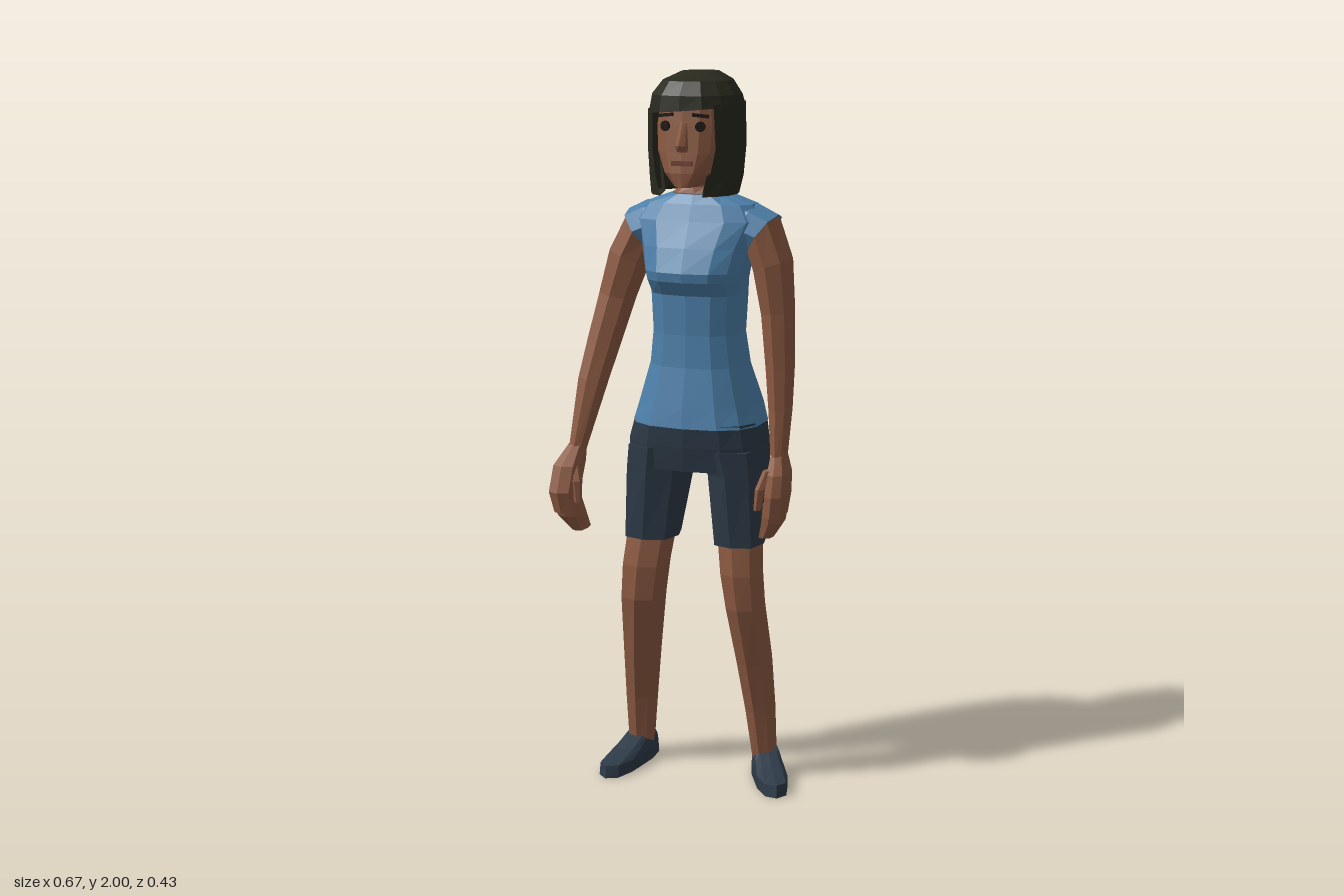
import * as THREE from 'three';

const mat = (name, color, extra = {}) => {
  const m = new THREE.MeshStandardMaterial({ color, flatShading: true, ...extra });
  m.name = name;
  return m;
};

// Skin over rings listed from top to bottom: [cx, cy, cz, rx, rz, tilt about z].
// n squares the section off; gap leaves an opening of that half angle at the front.
function loft(rings, sides = 8, n = 2.3, gap = 0) {
  const pos = [], idx = [];
  const pw = v => Math.sign(v) * Math.abs(v) ** (2 / n);
  for (const [cx, cy, cz, rx, rz, tilt = 0, g = gap] of rings) {
    for (let j = 0; j <= sides; j++) {
      const t = g + (2 * Math.PI - 2 * g) * j / sides;
      const x = rx * pw(Math.sin(t));
      pos.push(cx + x * Math.cos(tilt), cy + x * Math.sin(tilt), cz + rz * pw(Math.cos(t)));
    }
  }
  const w = sides + 1, last = (rings.length - 1) * w;
  for (let i = 0; i < rings.length - 1; i++) {
    for (let j = 0; j < sides; j++) {
      const a = i * w + j, b = a + w;
      idx.push(b, b + 1, a + 1, b, a + 1, a);
    }
  }
  if (!gap) {
    const top = pos.length / 3;
    pos.push(...rings[0].slice(0, 3), ...rings[rings.length - 1].slice(0, 3));
    for (let j = 0; j < sides; j++) {
      idx.push(top, j, j + 1, top + 1, last + j + 1, last + j);
    }
  }
  const geo = new THREE.BufferGeometry();
  geo.setAttribute('position', new THREE.Float32BufferAttribute(pos, 3));
  geo.setIndex(idx);
  geo.computeVertexNormals();
  return geo;
}

// Ring given by its extents
const span = (y, x0, x1, z0, z1) => [(x0 + x1) / 2, y, (z0 + z1) / 2, (x1 - x0) / 2, (z1 - z0) / 2];

export function createModel() {
  const model = new THREE.Group();
  const skin = mat('skin', 0x8c5a42);
  const shirt = mat('blue shirt', 0x4d80aa);
  const cloth = mat('dark slate', 0x2d3a47);
  const hair = mat('dark hair', 0x29291f, { side: THREE.DoubleSide });
  const dark = mat('eyes and brows', 0x1a1511);
  const lip = mat('lips', 0x6e3f33);

  const add = (name, geo, material, parent = model) => {
    const m = new THREE.Mesh(geo, material);
    m.name = name;
    parent.add(m);
    return m;
  };

  // Shirt body, from neckline to hem
  add('shirt', loft([
    span(1.67, -0.05, 0.12, -0.12, 0.015), span(1.645, -0.12, 0.195, -0.135, 0.03),
    span(1.6, -0.15, 0.225, -0.148, 0.05), span(1.53, -0.12, 0.195, -0.15, 0.085),
    span(1.465, -0.105, 0.18, -0.152, 0.112), span(1.44, -0.1, 0.175, -0.152, 0.108),
    span(1.4, -0.095, 0.17, -0.15, 0.076), span(1.29, -0.09, 0.163, -0.15, 0.072),
    span(1.2, -0.1, 0.175, -0.165, 0.076), span(1.09, -0.135, 0.205, -0.215, 0.094),
    span(1.035, -0.15, 0.222, -0.207, 0.102),
  ], 14, 2.6), shirt);
  add('neckSkin', loft([[0.035, 1.76, -0.04, 0.048, 0.05], [0.035, 1.69, -0.05, 0.05, 0.055],
    [0.035, 1.672, -0.052, 0.078, 0.062], [0.035, 1.6, -0.055, 0.07, 0.05]], 10), skin);

  // Shorts: pelvis and two legs
  add('shortsPelvis', loft([
    span(1.045, -0.145, 0.218, -0.2, 0.096), span(0.98, -0.163, 0.229, -0.188, 0.09),
    span(0.91, -0.165, 0.232, -0.155, 0.078),
  ], 14, 2.8), cloth);
  add('rightShortsLeg', loft([span(0.97, -0.16, 0.02, -0.178, 0.086),
    span(0.9, -0.167, 0.01, -0.158, 0.08), span(0.7, -0.172, -0.018, -0.103, 0.068)], 8, 2.7), cloth);
  add('leftShortsLeg', loft([span(0.97, 0.05, 0.228, -0.178, 0.086),
    span(0.9, 0.078, 0.233, -0.158, 0.08), span(0.7, 0.098, 0.237, -0.103, 0.068)], 8, 2.7), cloth);

  // Bare legs
  const legZ = [[0.73, -0.015, 0.078], [0.62, 0, 0.075], [0.52, -0.005, 0.074],
    [0.35, -0.043, 0.071], [0.2, -0.064, 0.058], [0.04, -0.078, 0.043]];
  const leg = xs => loft(legZ.map(([y, z, rz], i) => [xs[i][0], y, z, xs[i][1], rz]), 8);
  add('rightLeg', leg([[-0.095, 0.071], [-0.109, 0.069], [-0.12, 0.064],
    [-0.139, 0.051], [-0.15, 0.044], [-0.157, 0.036]]), skin);
  add('leftLeg', leg([[0.168, 0.064], [0.178, 0.059], [0.188, 0.053],
    [0.203, 0.047], [0.215, 0.041], [0.225, 0.034]]), skin);

  // Shoes, toes turned outward
  for (const [name, x, turn, len] of [['rightShoe', -0.16, -0.12, 1.05], ['leftShoe', 0.228, 0.48, 1]]) {
    const shoe = add(name, loft([[0, 0.075, 0, 0.035, 0.046], [0, 0.055, 0.025, 0.04, 0.085],
      [0, 0.035, 0.066, 0.045, 0.132], [0, 0, 0.067, 0.045, 0.138]], 10, 2.7), cloth);
    shoe.position.set(x, 0, -0.078);
    shoe.rotation.y = turn;
    shoe.scale.z = len;
  }

  // Sleeves, mirrored about the body's middle line
  for (const s of [-1, 1]) {
    add(s < 0 ? 'rightSleeve' : 'leftSleeve', loft([
      [0.0375 + s * 0.07, 1.59, -0.06, 0.06, 0.08, s * 1.3],
      [0.0375 + s * 0.13, 1.582, -0.06, 0.071, 0.087, s * 1.08],
      [0.0375 + s * 0.179, 1.562, -0.06, 0.069, 0.083, s * 0.93],
    ], 8), shirt);
  }

  // Arms: the right one swings forward, the left one hangs
  add('rightArm', loft([
    [-0.138, 1.567, -0.06, 0.064, 0.079, -0.93], [-0.175, 1.49, -0.052, 0.059, 0.077, -0.4],
    [-0.206, 1.38, -0.035, 0.051, 0.068, -0.2], [-0.234, 1.25, 0, 0.046, 0.062, -0.15],
    [-0.253, 1.15, 0.033, 0.042, 0.054, -0.1], [-0.279, 0.95, 0.095, 0.022, 0.035],
  ], 8), skin);
  add('leftArm', loft([
    [0.213, 1.567, -0.06, 0.064, 0.079, 0.93], [0.243, 1.48, -0.06, 0.055, 0.075, 0.3],
    [0.258, 1.35, -0.062, 0.045, 0.065, 0.1], [0.268, 1.2, -0.055, 0.038, 0.059],
    [0.275, 1.08, -0.04, 0.031, 0.049], [0.279, 0.94, -0.018, 0.02, 0.038],
  ], 8), skin);

  // Hands with curled fingers and a thumb
  add('rightPalm', loft([[-0.28, 0.97, 0.09, 0.022, 0.034], [-0.288, 0.92, 0.13, 0.038, 0.058],
    [-0.29, 0.85, 0.16, 0.038, 0.055], [-0.285, 0.79, 0.16, 0.03, 0.04]], 8, 2.8), skin);
  add('rightFingers', loft([[-0.287, 0.83, 0.158, 0.035, 0.05], [-0.275, 0.78, 0.145, 0.034, 0.048],
    [-0.255, 0.735, 0.125, 0.018, 0.04]], 8, 2.8), skin);
  add('rightThumb', loft([[-0.27, 0.93, 0.14, 0.014, 0.018], [-0.252, 0.88, 0.165, 0.015, 0.018],
    [-0.246, 0.82, 0.17, 0.01, 0.012]], 6), skin);
  add('leftPalm', loft([[0.279, 0.96, -0.02, 0.02, 0.036], [0.284, 0.91, -0.008, 0.029, 0.055],
    [0.282, 0.85, -0.003, 0.03, 0.062], [0.275, 0.79, -0.003, 0.028, 0.055]], 8, 2.8), skin);
  add('leftFingers', loft([[0.277, 0.83, -0.003, 0.03, 0.058], [0.268, 0.77, -0.008, 0.03, 0.048],
    [0.248, 0.725, -0.012, 0.02, 0.035]], 8, 2.8), skin);
  add('leftThumb', loft([[0.26, 0.92, 0.02, 0.013, 0.018], [0.245, 0.87, 0.04, 0.014, 0.018],
    [0.237, 0.81, 0.042, 0.01, 0.012]], 6), skin);

  // Head
  const head = new THREE.Group();
  head.name = 'head';
  model.add(head);
  const cx = 0.036;
  add('face', loft([
    span(1.965, cx - 0.06, cx + 0.06, -0.1, 0.06), span(1.92, cx - 0.092, cx + 0.092, -0.13, 0.09),
    span(1.86, cx - 0.1, cx + 0.1, -0.13, 0.096), span(1.79, cx - 0.094, cx + 0.094, -0.11, 0.102),
    span(1.735, cx - 0.07, cx + 0.07, -0.08, 0.108), span(1.697, cx - 0.03, cx + 0.03, -0.02, 0.104),
  ], 16, 2.6), skin, head);
  add('nose', loft([[cx + 0.004, 1.87, 0.088, 0.01, 0.014], [cx + 0.004, 1.81, 0.105, 0.016, 0.03],
    [cx + 0.004, 1.793, 0.1, 0.015, 0.02]], 6), skin, head);
  add('mouth', new THREE.BoxGeometry(0.058, 0.013, 0.008), lip, head).position.set(cx + 0.003, 1.762, 0.106);
  for (const s of [-1, 1]) {
    const eye = add(s < 0 ? 'rightEye' : 'leftEye',
      new THREE.CylinderGeometry(0.014, 0.014, 0.009, 10).rotateX(Math.PI / 2), dark, head);
    eye.position.set(cx + s * 0.05, 1.86, 0.09);
    eye.rotation.y = s * 0.25;
    const brow = add(s < 0 ? 'rightBrow' : 'leftBrow', new THREE.BoxGeometry(0.045, 0.009, 0.009), dark, head);
    brow.position.set(cx + s * 0.05, 1.889, 0.088);
    brow.rotation.set(0, s * 0.25, -s * 0.1);
  }

  // Hair: closed crown with a slanted fringe, then a long bob open at the face
  const hx = 0.03;
  add('hairCrown', loft([
    [hx, 2, -0.06, 0.05, 0.055], [hx, 1.977, -0.042, 0.094, 0.112],
    [hx, 1.94, -0.035, 0.121, 0.135], [hx, 1.9, -0.034, 0.131, 0.138, 0.08],
  ], 14, 2.2), hair, head);
  add('hairBob', loft([
    [hx, 1.91, -0.034, 0.131, 0.138, 0.08, 0.7], [hx, 1.8, -0.036, 0.133, 0.134, 0, 0.72],
    [hx, 1.72, -0.03, 0.127, 0.129, 0, 0.62], [hx, 1.672, -0.02, 0.118, 0.121, 0, 0.5],
    [hx, 1.685, -0.02, 0.09, 0.1, 0, 0.6], [hx, 1.8, -0.03, 0.1, 0.11, 0, 0.85],
  ], 14, 2.2, 0.7), hair, head);

  return model;
}
